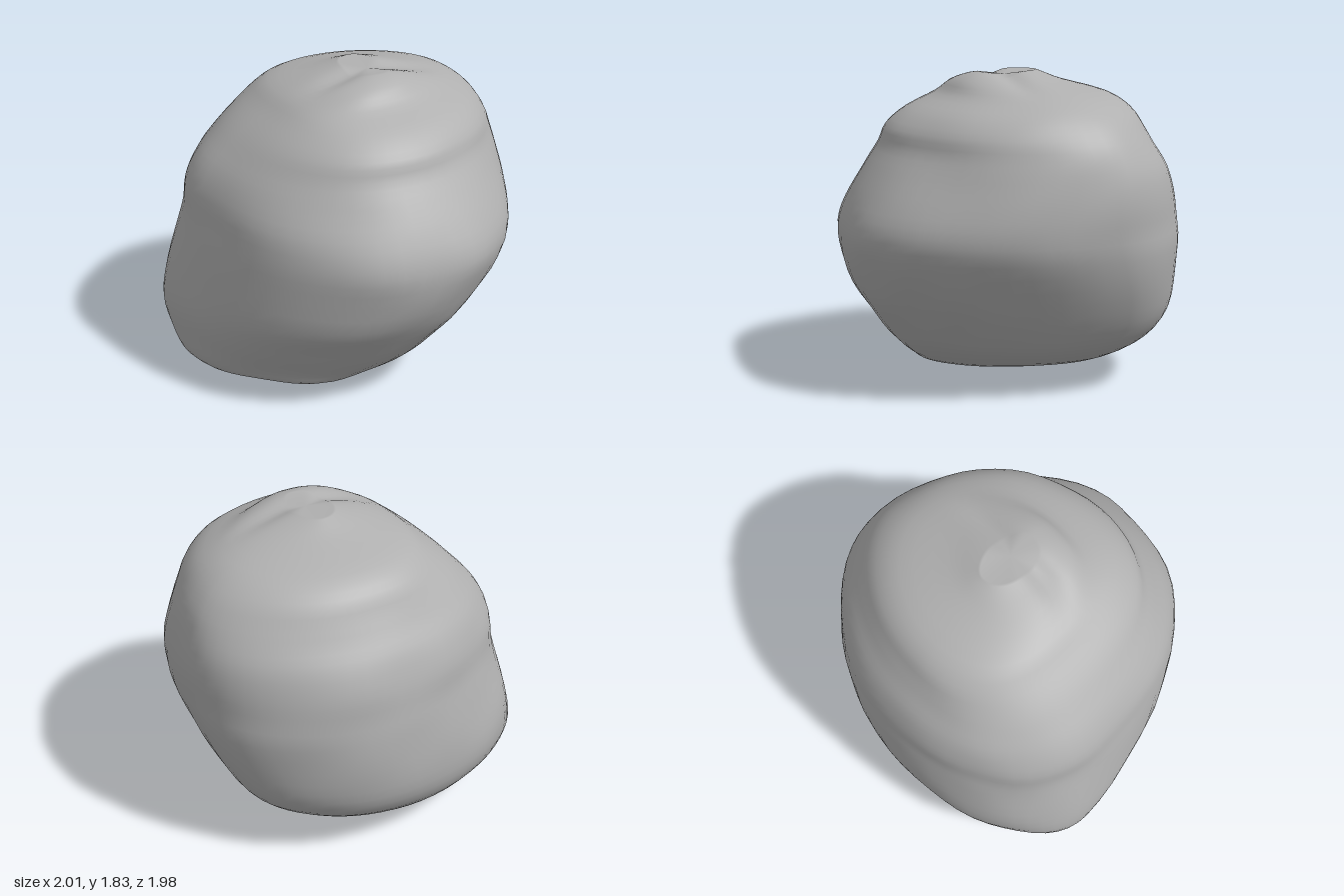
import * as THREE from 'three';

// Horizontal sections: y, left x, right x, back z, front z, centre x, centre z
const SECTIONS = [
  [0.00, -0.80, -0.14, -0.50, 0.10, -0.46, -0.20],
  [0.05, -0.89, 0.10, -0.60, 0.38, -0.34, -0.25],
  [0.12, -0.96, 0.38, -0.73, 0.49, -0.21, -0.30],
  [0.25, -0.99, 0.64, -0.88, 0.64, -0.11, -0.35],
  [0.40, -1.00, 0.78, -0.97, 0.76, -0.05, -0.38],
  [0.60, -0.975, 0.89, -0.99, 0.90, 0.00, -0.35],
  [0.85, -0.925, 0.98, -0.975, 0.99, 0.08, -0.25],
  [1.00, -0.90, 1.00, -0.955, 0.99, 0.10, -0.20],
  [1.15, -0.875, 1.00, -0.935, 0.92, 0.08, -0.20],
  [1.30, -0.80, 0.98, -0.88, 0.82, 0.06, -0.20],
  [1.42, -0.70, 0.945, -0.80, 0.735, 0.05, -0.18],
  [1.52, -0.60, 0.89, -0.74, 0.695, 0.05, -0.15],
  [1.62, -0.48, 0.80, -0.68, 0.58, 0.06, -0.12],
  [1.70, -0.38, 0.66, -0.56, 0.41, 0.06, -0.10],
  [1.77, -0.23, 0.42, -0.31, 0.34, 0.08, 0.00],
  [1.81, -0.10, 0.28, -0.20, 0.27, 0.10, 0.03],
  [1.83, -0.03, 0.20, -0.15, 0.20, 0.10, 0.03],
];
const STEPS = 3;
const SIDES = 56;

// Flattening of each quarter, [at the ground, at mid height, towards the crown]; negative bulges
const FLATTEN = {
  frontLeft: [0.12, -0.04, -0.09],
  backLeft: [0.04, -0.015, -0.03],
  frontRight: [0.03, 0.03, 0.0],
  backRight: [0.01, 0.01, 0.01],
};

// Smooth interpolation of a section between the listed heights
function sectionAt(t) {
  const last = SECTIONS.length - 1;
  const i = Math.min(Math.floor(t), last - 1);
  const f = t - i;
  const pick = (k) => SECTIONS[Math.max(0, Math.min(last, k))];
  return SECTIONS[0].map((_, c) => {
    const a = pick(i - 1)[c], b = pick(i)[c], d = pick(i + 1)[c], e = pick(i + 2)[c];
    return b + 0.5 * f * (d - a + f * (2 * a - 5 * b + 4 * d - e + f * (3 * (b - d) + e - a)));
  });
}

// Gentle worn lumps, as a fraction of the radius
function lumps(x, y, z) {
  return 0.006 * Math.sin(7 * x + 3 * y + 1) * Math.sin(6 * z - 4 * y)
    + 0.004 * Math.sin(13 * y + 5 * z) * Math.sin(11 * x - 6 * z + 2);
}

function boulderGeometry() {
  const positions = [];
  const indices = [];
  const rings = (SECTIONS.length - 1) * STEPS + 1;
  const { lerp, smoothstep } = THREE.MathUtils;

  for (let i = 0; i < rings; i++) {
    const [y, left, right, back, front, cx, cz] = sectionAt(i / STEPS);
    const rise = smoothstep(y, 0, 0.6);
    const crown = smoothstep(y, 1.2, 1.65);
    for (let j = 0; j < SIDES; j++) {
      const a = (j / SIDES) * Math.PI * 2;
      const c = Math.cos(a), s = Math.sin(a);
      const [ground, middle, high] = FLATTEN[(s > 0 ? 'front' : 'back') + (c > 0 ? 'Right' : 'Left')];
      const k = 1 - lerp(lerp(ground, middle, rise), high, crown) * Math.sin(2 * a) ** 2;
      const dx = c * k * (c > 0 ? right - cx : cx - left);
      const dz = s * k * (s > 0 ? front - cz : cz - back);
      const n = 1 + lumps(cx + dx, y, cz + dz);
      const x = cx + dx * n, z = cz + dz * n;
      // shallow saddle across the crown
      const dip = 0.03 * smoothstep(y, 1.7, 1.83) * Math.exp(-(((z - 0.09) / 0.07) ** 2));
      positions.push(x, Math.max(0, y - dip), z);
    }
  }

  // Skin between rings
  for (let i = 0; i < rings - 1; i++) {
    for (let j = 0; j < SIDES; j++) {
      const a = i * SIDES + j, b = i * SIDES + (j + 1) % SIDES;
      indices.push(a, a + SIDES, b, b, a + SIDES, b + SIDES);
    }
  }

  // Underside and crown caps
  const bottom = positions.length / 3;
  positions.push(-0.46, 0, -0.2, 0.1, 1.81, 0.05);
  const top = (rings - 1) * SIDES;
  for (let j = 0; j < SIDES; j++) {
    const next = (j + 1) % SIDES;
    indices.push(bottom, j, next, bottom + 1, top + next, top + j);
  }

  const geometry = new THREE.BufferGeometry();
  geometry.setAttribute('position', new THREE.Float32BufferAttribute(positions, 3));
  geometry.setIndex(indices);
  geometry.computeVertexNormals();
  return geometry;
}

export function createModel() {
  const stone = new THREE.MeshStandardMaterial({ color: 0xb0b0b0 });
  stone.name = 'grey stone';
  const boulder = new THREE.Mesh(boulderGeometry(), stone);
  boulder.name = 'boulder';
  const group = new THREE.Group();
  group.name = 'rock';
  group.add(boulder);
  return group;
}
